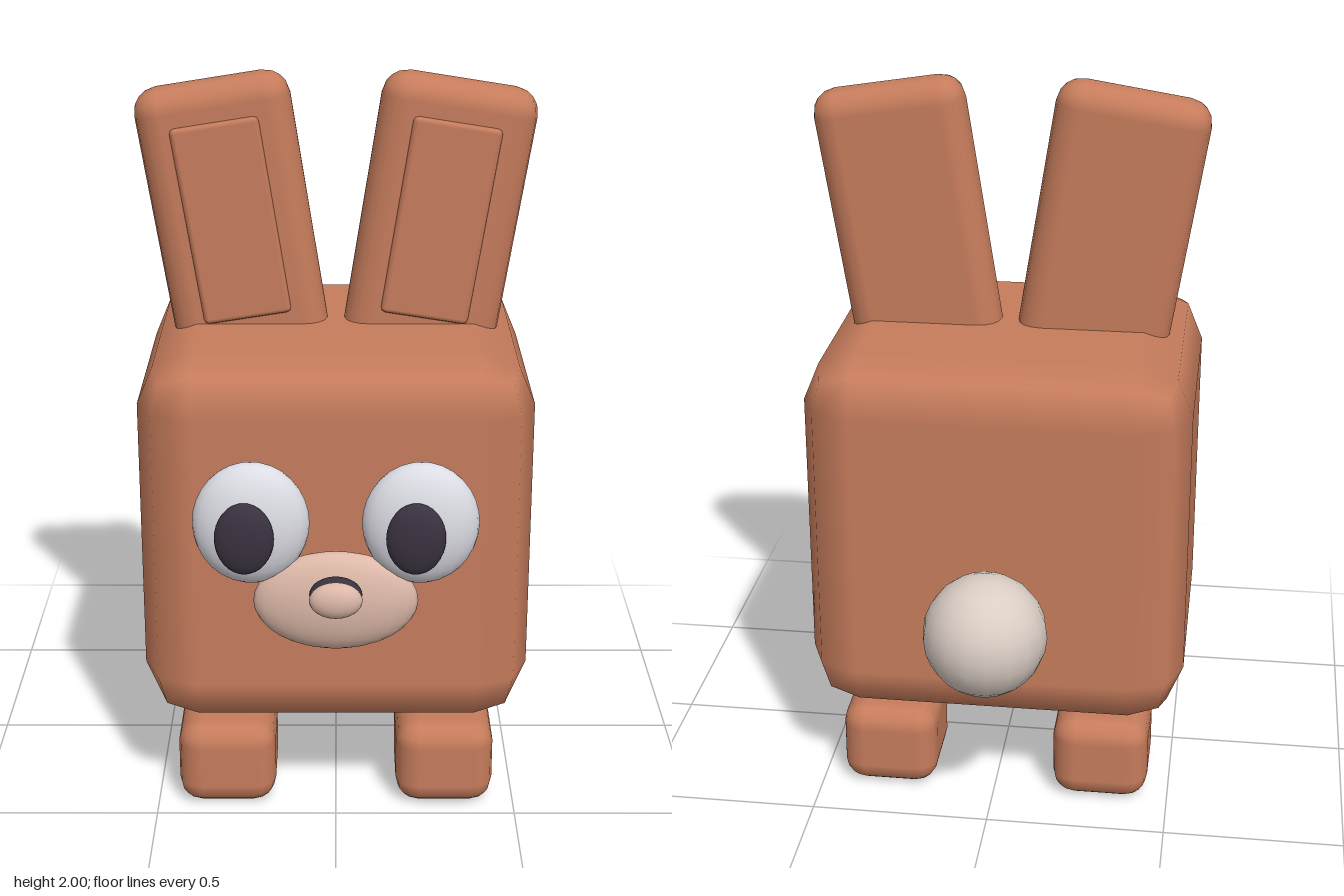
import * as THREE from 'three';
import { RoundedBoxGeometry } from 'three/addons/geometries/RoundedBoxGeometry.js';

const mat = (name, color) => {
  const m = new THREE.MeshStandardMaterial({ color });
  m.name = name;
  return m;
};

export function createModel() {
  const model = new THREE.Group();
  model.name = 'blockRabbit';

  const fur = mat('terracottaFur', 0xc67c5c);
  const eyeWhite = mat('eyeWhite', 0xdcdce4);
  const dark = mat('darkPupil', 0x3a3240);
  const pink = mat('palePink', 0xdcb8a8);
  const cream = mat('creamTail', 0xdacdc4);

  const add = (parent, name, geometry, material, x, y, z) => {
    const mesh = new THREE.Mesh(geometry, material);
    mesh.name = name;
    mesh.position.set(x, y, z);
    parent.add(mesh);
    return mesh;
  };
  const box = (w, h, d, segments, r) => new RoundedBoxGeometry(w, h, d, segments, r);
  const ellipsoid = (rx, ry, rz, n = 24) =>
    new THREE.SphereGeometry(1, n, Math.round(n * 0.67)).scale(rx, ry, rz);

  // Body with coarse rounded edges
  add(model, 'body', box(1.064, 1.066, 0.915, 1, 0.15), fur, 0, 0.785, 0.042);

  for (const [side, s] of [['left', 1], ['right', -1]]) {
    // Legs
    for (const [end, z] of [['front', 0.32], ['back', -0.22]]) {
      add(model, `${side}${end}Leg`, box(0.272, 0.246, 0.3, 2, 0.065), fur, s * 0.305, 0.125, z);
    }

    // Ear leaning outwards, with a raised inner panel
    const ear = new THREE.Group();
    ear.name = `${side}Ear`;
    ear.position.set(s * 0.283, 1.6, 0.042);
    ear.rotation.z = -s * 0.157;
    add(ear, 'outerEar', box(0.425, 0.775, 0.152, 2, 0.07), fur, 0, 0, 0);
    add(ear, 'innerEar', box(0.242, 0.55, 0.04, 1, 0.014), fur, 0, 0.007, 0.07);
    model.add(ear);

    // Eyes; both pupils sit slightly towards the model's right
    add(model, `${side}Eye`, ellipsoid(0.155, 0.17, 0.075), eyeWhite, s * 0.224, 0.9, 0.53);
    add(model, `${side}Pupil`, ellipsoid(0.078, 0.1, 0.03), dark, s * 0.224 - 0.015, 0.886, 0.605);
  }

  // Muzzle and two-tone nose
  add(model, 'muzzle', ellipsoid(0.22, 0.14, 0.06), pink, 0, 0.68, 0.54);
  add(model, 'noseBase', ellipsoid(0.07, 0.05, 0.035), dark, 0, 0.73, 0.612);
  add(model, 'noseTip', ellipsoid(0.07, 0.05, 0.032), pink, 0, 0.73, 0.648);

  // Tail
  add(model, 'tail', ellipsoid(0.17, 0.17, 0.17, 18), cream, 0, 0.605, -0.51);

  return model;
}
